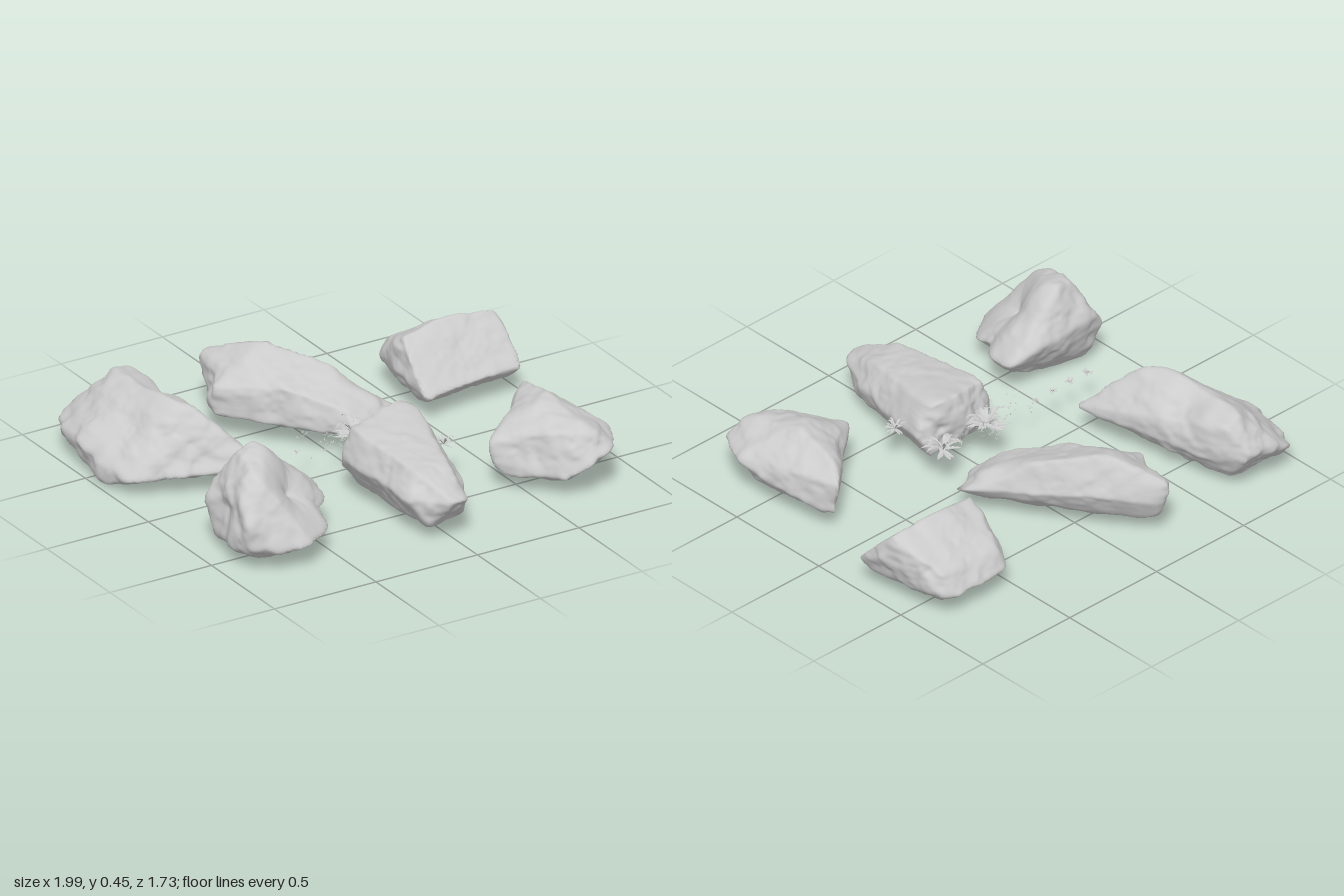
import * as THREE from 'three';
import { mergeVertices, mergeGeometries } from 'three/addons/utils/BufferGeometryUtils.js';
import { ConvexGeometry } from 'three/addons/geometries/ConvexGeometry.js';

const stone = new THREE.MeshStandardMaterial({ color: 0xcccccc });
const leafMat = new THREE.MeshStandardMaterial({ color: 0xcccccc, side: THREE.DoubleSide });

// Seeded random numbers
function seeded(s) {
  return () => {
    s = (s * 16807) % 2147483647;
    return s / 2147483647;
  };
}

// Smooth 3D value noise in -1..1
function hash(x, y, z) {
  const h = Math.sin(x * 127.1 + y * 311.7 + z * 74.7) * 43758.5453;
  return (h - Math.floor(h)) * 2 - 1;
}
function noise(p, f) {
  const c = [p.x * f, p.y * f, p.z * f], i = c.map(Math.floor);
  const t = c.map((v, k) => { const q = v - i[k]; return q * q * (3 - 2 * q); });
  let sum = 0;
  for (let a = 0; a < 2; a++) for (let b = 0; b < 2; b++) for (let d = 0; d < 2; d++) {
    const w = (a ? t[0] : 1 - t[0]) * (b ? t[1] : 1 - t[1]) * (d ? t[2] : 1 - t[2]);
    sum += w * hash(i[0] + a, i[1] + b, i[2] + d);
  }
  return sum;
}

// Rock: a sphere pushed out to the softened planes of a hull, then dented and weathered
// Each dent is x, y, z, radius, depth
function rock(name, { corners, dents }) {
  const pts = corners.map(c => new THREE.Vector3(...c));
  const box = new THREE.Box3().setFromPoints(pts);
  const mid = box.getCenter(new THREE.Vector3()), size = box.getSize(new THREE.Vector3());
  const hull = new ConvexGeometry(pts.map(p => p.clone().sub(mid))).attributes.position;
  const planes = [];
  for (let i = 0; i < hull.count; i += 3) {
    const [a, b, c] = [0, 1, 2].map(k => new THREE.Vector3().fromBufferAttribute(hull, i + k));
    const plane = new THREE.Plane().setFromCoplanarPoints(a, b, c);
    planes.push(plane.normal.divideScalar(-plane.constant));
  }
  let geo = new THREE.IcosahedronGeometry(1, 23);
  geo.deleteAttribute('uv');
  geo.deleteAttribute('normal');
  geo = mergeVertices(geo, 1e-5);
  const pos = geo.attributes.position, v = new THREE.Vector3();
  for (let i = 0; i < pos.count; i++) {
    v.fromBufferAttribute(pos, i).multiply(size);
    let sum = 0;
    for (const n of planes) sum += Math.max(0, n.dot(v)) ** 48;
    v.multiplyScalar(sum ** (-1 / 48)).add(mid);
    let push = 1.025 + 0.03 * noise(v, 9) + 0.035 * noise(v, 19) - 0.03 * Math.abs(noise(v, 13)) + 0.015 * noise(v, 42);
    for (const [x, y, z, r, depth] of dents) {
      const d = Math.hypot(v.x - x, v.y - y, v.z - z) / r;
      if (d < 1) push -= depth * (1 - d * d) ** 2 / v.distanceTo(mid);
    }
    v.sub(mid).multiplyScalar(push).add(mid);
    pos.setXYZ(i, v.x, Math.max(v.y, 0), v.z);
  }
  geo.computeVertexNormals();
  const mesh = new THREE.Mesh(geo, stone);
  mesh.name = name;
  return mesh;
}

// One tapered leaf, arching outward from the origin along +x
function leaf(length, width, rise) {
  const geo = new THREE.PlaneGeometry(1, 1, 4, 2), p = geo.attributes.position;
  for (let i = 0; i < p.count; i++) {
    const t = p.getX(i) + 0.5, s = p.getY(i);
    const w = width * (0.25 + 2.2 * t) * (1 - t) ** 0.8;
    p.setXYZ(i, length * t, rise * Math.sin(t * 2.3) + Math.abs(s) * w * 0.4, s * w);
  }
  geo.computeVertexNormals();
  return geo;
}

// Rosette of leaves
function plant(name, x, y, z, radius, count, seed) {
  const rnd = seeded(seed), leaves = [];
  for (let i = 0; i < count; i++) {
    const g = leaf(radius * (0.55 + 0.45 * rnd()), radius * 0.25, radius * (0.8 * rnd() - 0.15));
    leaves.push(g.rotateY((i + 0.6 * rnd()) * 2.4));
  }
  const mesh = new THREE.Mesh(mergeGeometries(leaves), leafMat);
  mesh.position.set(x, y, z);
  mesh.name = name;
  return mesh;
}

const rocks = {
  frontRightRock: {
    corners: [
      [-.8, .42, .37], [-.71, .45, .36], [-.68, .43, .42], [-.57, .32, .35], [-.81, .41, .5], [-.8, .36, .6],
      [-.9, .3, .57], [-.88, .31, .46], [-.91, .22, .65], [-.91, .2, .29], [-.85, .27, .26], [-.53, .24, .28],
      [-.41, .19, .32], [-.41, .16, .47], [-.49, .12, .64], [-.58, .1, .68], [-.66, .12, .75], [-.76, .1, .74],
      [-.92, .1, .66], [-.93, .08, .57], [-.89, .06, .32], [-.84, .02, .4], [-.85, .03, .6], [-.65, .03, .6],
      [-.7, .01, .4], [-.5, .08, .4]],
    dents: [[-.44, .14, .58, .14, .06], [-.62, .26, .55, .17, .05], [-.92, .18, .42, .12, .035], [-.6, .3, .42, .1, .025]],
  },
  frontMiddleRock: {
    corners: [
      [-.1, .06, .78], [.08, .06, .74], [-.03, .2, .86], [.05, .18, .85], [-.1, .28, .68],
      [.06, .27, .68], [-.14, .31, .2], [.14, .35, .17], [.19, .33, .2], [-.17, .18, .72], [-.19, .17, .22],
      [.25, .2, .2], [.2, .17, .42], [.13, .17, .7], [-.1, .04, .3], [.12, .05, .3],
      [0, .04, .6], [0, .2, .13], [-.16, .12, .16], [.2, .1, .17]],
    dents: [[.13, .2, .76, .12, .025], [-.18, .2, .5, .16, .015]],
  },
  frontLeftRock: {
    corners: [
      [.78, .25, .11], [.73, .3, .19], [.71, .32, .3], [.8, .1, .12], [.72, .1, .2], [.38, .15, .48],
      [.39, .21, .47], [.48, .26, .42], [.62, .34, .48], [.7, .35, .42], [.61, .28, .68], [.74, .29, .71],
      [.84, .26, .55], [.9, .2, .62], [.88, .15, .42], [.83, .2, .76], [.7, .16, .8], [.83, .24, .3],
      [.6, .1, .75], [.42, .07, .52], [.65, .04, .65], [.8, .05, .6], [.7, .06, .35]],
    dents: [[.46, .2, .64, .14, .025], [.58, .22, .3, .12, .02], [.88, .24, .72, .08, .015]],
  },
  backRightRock: {
    corners: [
      [-.7, .37, -.3], [-.62, .34, -.2], [-.72, .35, -.75], [-.62, .32, -.78], [-.93, .12, -.84],
      [-.8, .2, -.87], [-.66, .2, -.87], [-.58, .15, -.72], [-.57, .15, -.62], [-.54, .25, -.45], [-.51, .15, -.36],
      [-.45, .15, -.05], [-.5, .2, -.08], [-.56, .1, -.03], [-.94, .08, -.22], [-1, .1, -.4], [-.99, 0, -.4],
      [-.99, .15, -.6], [-.92, 0, -.4], [-.6, .04, -.2], [-.65, .05, -.75], [-.85, .04, -.75], [-.92, .22, -.55]],
    dents: [[-.62, .33, -.52, .15, .04], [-.86, .27, -.4, .14, .02], [-.66, .25, -.08, .1, .02], [-.8, .28, -.8, .1, .02]],
  },
  backMiddleRock: {
    corners: [
      [-.15, .32, -.74], [-.06, .36, -.6], [-.14, .34, -.57], [.1, .31, -.41], [-.21, .27, -.86],
      [-.32, .23, -.55], [-.34, .1, -.56], [-.26, .24, -.72], [-.14, .18, -.81], [.02, .2, -.62], [-.12, .26, -.33],
      [.21, .17, -.33], [.31, .15, -.18], [.3, .1, -.09], [.14, .12, -.04], [.07, .1, -.06], [-.18, .1, -.8],
      [.2, .21, -.18], [.06, .2, -.12], [-.25, .06, -.6], [-.15, .07, -.75], [.2, .05, -.15], [.1, .05, -.3]],
    dents: [[.25, .2, -.28, .12, .025], [-.29, .2, -.7, .1, .02]],
  },
  backLeftRock: {
    corners: [
      [.5, .32, -.4], [.7, .35, -.42], [.96, .33, -.4], [.48, .12, -.19], [.97, .14, -.22],
      [.98, .2, -.36], [.48, .16, -.38], [.51, .14, -.62], [.57, .12, -.69], [.7, .12, -.7],
      [.85, .11, -.7], [.91, .12, -.65], [.52, .06, -.26], [.93, .08, -.27], [.6, .06, -.6],
      [.85, .06, -.6], [.53, .25, -.53], [.92, .25, -.53], [.57, .21, -.63], [.88, .21, -.63]],
    dents: [[.75, .22, -.24, .18, .01]],
  },
};

export function createModel() {
  const model = new THREE.Group();
  model.name = 'rocksAndPlants';
  for (const [name, shape] of Object.entries(rocks)) model.add(rock(name, shape));

  // Leafy plants between the rocks
  model.add(plant('middlePlant', -0.03, 0.19, 0.07, 0.1, 34, 11));
  model.add(plant('sidePlant', 0.22, 0.19, 0.07, 0.1, 30, 23));
  model.add(plant('smallPlant', 0.25, 0.18, 0.33, 0.06, 18, 37));

  // Row of tiny tufts
  [-0.62, -0.52, -0.42, -0.32].forEach((x, i) =>
    model.add(plant('tuft', x, 0.18, 0.08, 0.033 - i * 0.004, 22, 51 + i * 7)));

  // Loose sprigs scattered around the plants
  const rnd = seeded(97);
  for (let i = 0; i < 70; i++) {
    const x = -0.07 + (rnd() + rnd() - 1) * 0.25, z = 0.08 + (rnd() + rnd() - 1) * 0.12;
    model.add(plant('sprig', x, 0.17 + 0.05 * rnd(), z, 0.014, 4, 101 + i));
  }
  return model;
}
